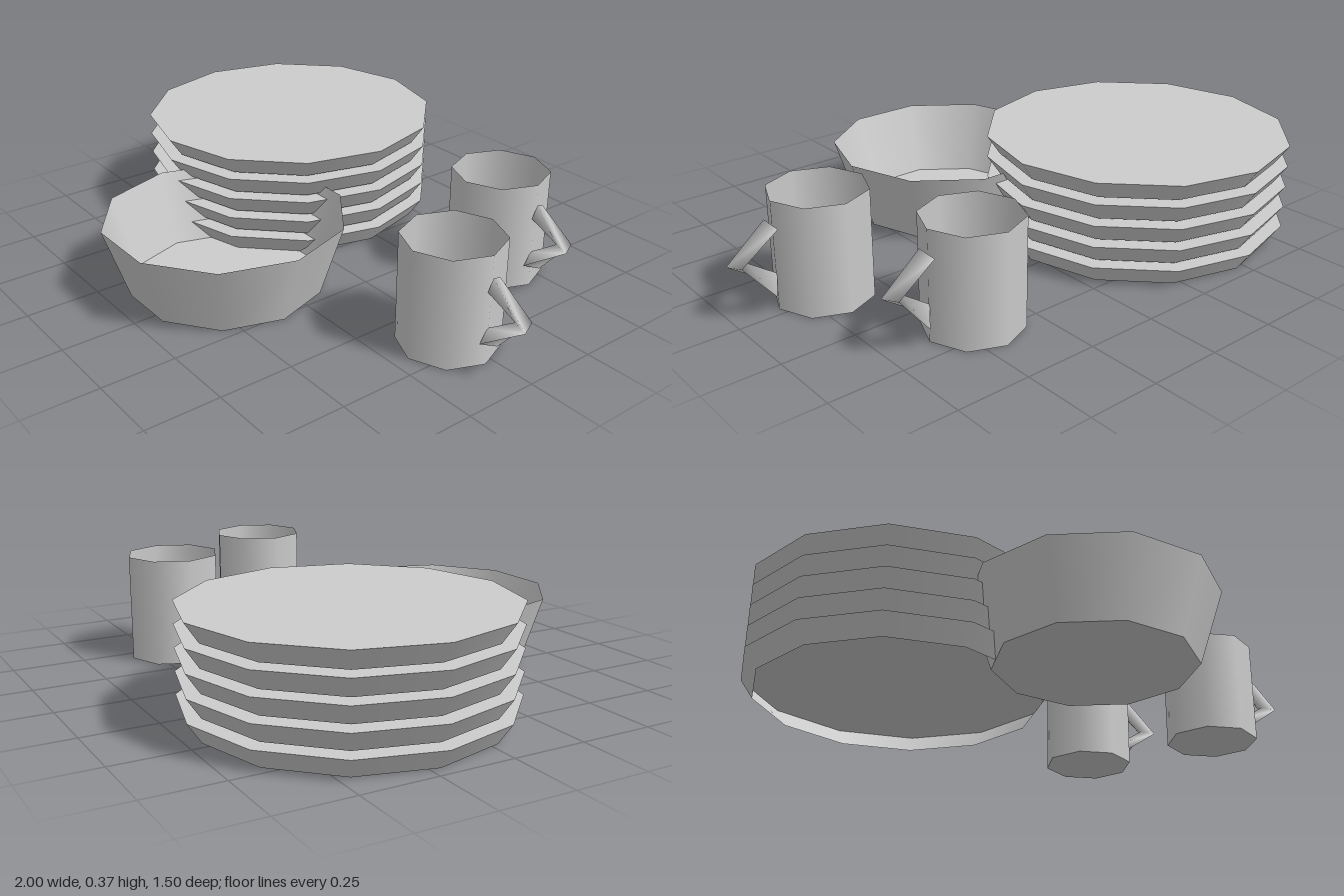
import * as THREE from 'three';

const stoneware = new THREE.MeshStandardMaterial({ color: 0xcccccc, side: THREE.DoubleSide });
stoneware.name = 'greyStoneware';

function part(name, geometry) {
  const mesh = new THREE.Mesh(geometry, stoneware);
  mesh.name = name;
  return mesh;
}

// Thin wall closed by one disc, at the top or at the foot; corners lie on the x axis
function dish(name, topRadius, footRadius, height, sides, closedAtTop = false) {
  const group = new THREE.Group();
  group.name = name;
  const wall = new THREE.CylinderGeometry(topRadius, footRadius, height, sides, 1, true, Math.PI / 2);
  wall.translate(0, height / 2, 0);
  const disc = new THREE.CircleGeometry(closedAtTop ? topRadius : footRadius, sides);
  disc.rotateX(closedAtTop ? -Math.PI / 2 : Math.PI / 2);
  disc.translate(0, closedAtTop ? height : 0, 0);
  group.add(part(name + 'Wall', wall), part(name + 'Disc', disc));
  return group;
}

// Angular handle: three triangular sections joined into a bent, slightly twisted bar
function handleGeometry() {
  const sections = [
    [[0.182, 0.308, 0.015], [0.163, 0.287, -0.034], [0.16, 0.25, 0.01]],
    [[0.318, 0.19, 0.017], [0.293, 0.195, -0.038], [0.262, 0.195, 0.0]],
    [[0.165, 0.085, 0.035], [0.18, 0.06, -0.027], [0.16, 0.125, 0.0]],
  ];
  const index = [];
  for (let s = 0; s < 2; s++) {
    for (let k = 0; k < 3; k++) {
      const a = s * 3 + k, b = s * 3 + (k + 1) % 3;
      index.push(a, a + 3, b, b, a + 3, b + 3);
    }
  }
  const geometry = new THREE.BufferGeometry();
  geometry.setAttribute('position', new THREE.Float32BufferAttribute(sections.flat(2), 3));
  geometry.setIndex(index);
  geometry.computeVertexNormals();
  return geometry;
}

export function createModel() {
  const model = new THREE.Group();
  model.name = 'tableware';

  // Stack of five plates, each hollow underneath
  const plates = new THREE.Group();
  plates.name = 'plateStack';
  for (let i = 0; i < 5; i++) {
    const plate = dish('plate', 0.532, 0.487, 0.066, 12, true);
    plate.position.y = i * 0.0742;
    plates.add(plate);
  }
  plates.position.set(-0.468, 0, -0.217);
  model.add(plates);

  // Bowl
  const bowl = dish('bowl', 0.41, 0.33, 0.25, 10);
  bowl.position.set(-0.057, 0, 0.359);
  model.add(bowl);

  // Two mugs with handles
  const handle = handleGeometry();
  for (const [x, z] of [[0.437, -0.423], [0.682, 0.032]]) {
    const mug = dish('mug', 0.164, 0.164, 0.37, 8);
    mug.add(part('mugHandle', handle));
    mug.position.set(x, 0, z);
    model.add(mug);
  }
  return model;
}
